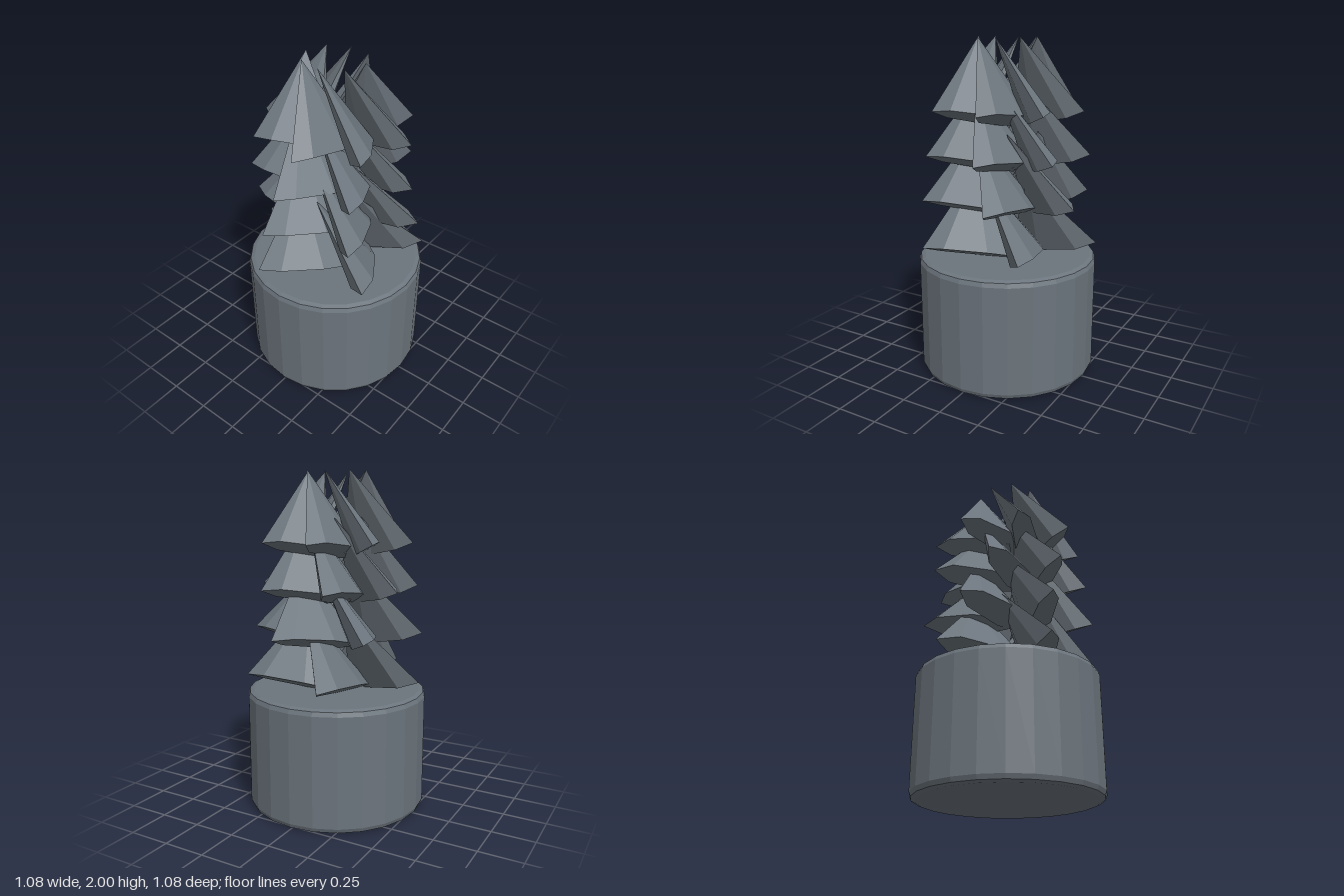
import * as THREE from 'three';

const grey = new THREE.MeshStandardMaterial({ color: 0x6c757d });
grey.name = 'slateGrey';

// Split the faces so every facet is flat
function faceted(geometry) {
  const flat = geometry.toNonIndexed();
  flat.computeVertexNormals();
  return flat;
}

// A fin-like cone: its tip leans to one side, its long oval base reaches from near the centre to the rim
function branchGeometry(spread) {
  const tip = new THREE.Vector3(-0.108, 2, 0.145);
  const base = new THREE.Vector3(0.115, 1.555, 0.205);
  const short = new THREE.Vector3(0.07, 0.034, 0);
  const long = new THREE.Vector3(-0.037, 0.04, 0.25);
  const matrix = new THREE.Matrix4().makeBasis(short, tip.clone().sub(base), long);
  matrix.setPosition(tip.add(base).multiplyScalar(0.5));
  const cone = new THREE.ConeGeometry(1, 1, 7).applyMatrix4(matrix);
  return faceted(cone.scale(spread, 1, spread));
}

export function createModel() {
  const model = new THREE.Group();
  model.name = 'pottedTree';

  // Round pot with bevelled rims
  const profile = [
    [0, 0], [0.505, 0], [0.53, 0.01], [0.54, 0.035],
    [0.54, 0.685], [0.53, 0.71], [0.505, 0.72], [0, 0.72],
  ].map(([r, y]) => new THREE.Vector2(r, y));
  const pot = new THREE.Mesh(faceted(new THREE.LatheGeometry(profile, 24)), grey);
  pot.name = 'pot';
  model.add(pot);

  // Swirling tiers, each wider and with one branch fewer than the tier above
  const tiers = [
    { count: 8, spread: 1, turn: -1 },
    { count: 7, spread: 1.06, turn: -2 },
    { count: 6, spread: 1.12, turn: 5.5 },
    { count: 5, spread: 1.17, turn: 26 },
  ];
  tiers.forEach(({ count, spread, turn }, level) => {
    const tier = new THREE.Group();
    tier.name = `branchTier${level + 1}`;
    tier.position.y = -0.263 * level;
    tier.rotation.y = THREE.MathUtils.degToRad(turn);
    const geometry = branchGeometry(spread);
    for (let i = 0; i < count; i++) {
      const branch = new THREE.Mesh(geometry, grey);
      branch.name = 'branch';
      branch.rotation.y = (i * 2 * Math.PI) / count;
      tier.add(branch);
    }
    model.add(tier);
  });
  return model;
}
